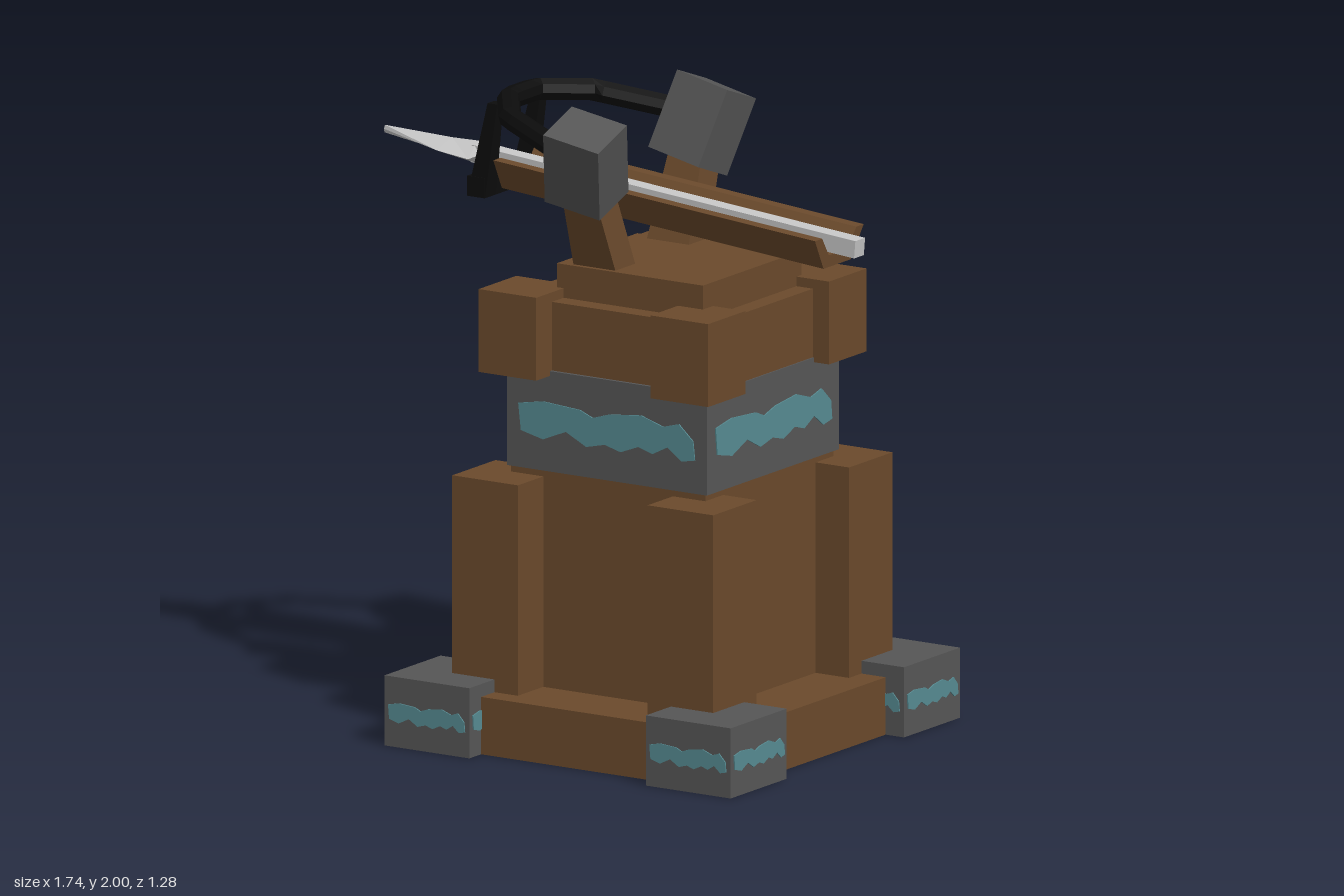
import * as THREE from 'three';

const mat = (name, color, side = THREE.DoubleSide) => {
  const m = new THREE.MeshStandardMaterial({ color, side, flatShading: true });
  m.name = name;
  return m;
};

export function createModel() {
  const wood = mat('wood', 0x6b4a2c);
  const stone = mat('stone', 0x565656);
  const teal = mat('teal paint', 0x568b92);
  const black = mat('black bow', 0x0c0c0c);
  const steel = mat('steel', 0xc6c6c6);

  const model = new THREE.Group();
  model.name = 'ballistaTower';
  const add = (name, geo, material, parent = model) => {
    const m = new THREE.Mesh(geo, material);
    m.name = name;
    parent.add(m);
    return m;
  };

  // Box given by its limits; open ones have no bottom
  const box = (name, [x0, x1], [y0, y1], [z0, z1], material, open = false, parent = model) => {
    const g = new THREE.BoxGeometry(x1 - x0, y1 - y0, z1 - z0);
    if (open) {
      const idx = Array.from(g.index.array);
      idx.splice(18, 6);
      g.setIndex(idx);
      g.clearGroups();
    }
    const m = add(name, g, material, parent);
    m.position.set((x0 + x1) / 2, (y0 + y1) / 2, (z0 + z1) / 2);
    return m;
  };

  // Skin over four-cornered rings, capped at both ends
  const loft = (rings) => {
    const n = rings[0].length, idx = [];
    for (let r = 0; r < rings.length - 1; r++)
      for (let i = 0; i < n; i++) {
        const a = r * n + i, b = r * n + (i + 1) % n;
        idx.push(a, b, b + n, a, b + n, a + n);
      }
    const e = (rings.length - 1) * n;
    idx.push(0, 2, 1, 0, 3, 2, e, e + 1, e + 3, e + 1, e + 2, e + 3);
    const g = new THREE.BufferGeometry();
    g.setAttribute('position', new THREE.Float32BufferAttribute(rings.flat(2), 3));
    g.setIndex(idx);
    const flat = g.toNonIndexed();
    flat.computeVertexNormals();
    return flat;
  };

  // Ragged paint stripe, one unit wide and one unit high
  const stripe = [[-1, .7], [-.72, .95], [-.3, .8], [-.16, .5], [.03, .8], [.39, 1], [.64, .6],
    [.82, .85], [.98, .1], [1, -.85], [.85, -1], [.69, -.4], [.52, -.85], [.36, -.6], [.16, -1],
    [-.02, -.75], [-.23, -1], [-.46, -.4], [-.72, -.95], [-.97, -.65]]
    .map(([x, y]) => new THREE.Vector2(x / 2, y / 2));
  // Stripes on the four sides of a block, centred on its walls
  const paint = (name, cx, y, cz, hx, hz, w, h) => {
    for (let i = 0; i < 4; i++) {
      const g = new THREE.ExtrudeGeometry(new THREE.Shape(stripe), { depth: 0.008, bevelEnabled: false });
      g.translate(0, 0, -0.004);
      g.scale(w, h, 1);
      g.translate(0, 0, i % 2 ? hx : hz);
      g.rotateY(i * Math.PI / 2);
      add(name, g, teal).position.set(cx, y, cz);
    }
  };

  // Tower body
  const CX = 0.165;
  const span = (c, h) => [c - h, c + h];
  box('plinth', span(CX, 0.565), [0, 0.18], span(0.005, 0.565), wood, true);
  box('towerCore', span(CX, 0.355), [0.18, 0.86], span(0, 0.355), wood);
  box('stoneBand', span(CX, 0.365), [0.86, 1.175], span(-0.005, 0.366), stone);
  paint('bandStripe', CX, 1.018, -0.005, 0.365, 0.366, 0.645, 0.125);
  box('upperBlock', span(CX, 0.36), [1.165, 1.39], span(-0.01, 0.36), wood);
  box('platform', span(0.198, 0.267), [1.38, 1.495], span(0.012, 0.273), wood);

  // Corner feet, posts and upper corner blocks
  for (const sx of [-1, 1])
    for (const sz of [-1, 1]) {
      const fx = CX + sx * 0.4775, fz = sz * 0.48;
      box('cornerFoot', span(fx, 0.155), [0, 0.22], span(fz, 0.155), stone, true);
      paint('footStripe', fx, 0.108, fz, 0.155, 0.155, 0.28, 0.066);
      box('cornerPost', span(CX + sx * 0.357, 0.12), [0.18, 0.84], span(sz * 0.376, 0.12), wood);
      box('cornerBlock', span(CX + sx * 0.314, 0.105), [1.16, 1.42], span(sz * 0.335 - 0.002, 0.104), wood);
    }

  // Slanted arms with heavy caps
  for (const s of [-1, 1]) {
    const arm = add('bowArm', loft([
      [[0.135, 1.48, 0.055], [0.135, 1.48, -0.055], [-0.02, 1.48, -0.055], [-0.02, 1.48, 0.055]],
      [[0.115, 1.80, 0.055], [0.115, 1.80, -0.055], [0, 1.80, -0.055], [0, 1.80, 0.055]]
        .map(([x, y, z]) => [x, y, z + s * 0.118]),
    ]), wood);
    arm.position.z = 0.01 + s * 0.198;
    const cap = add('armCap', new THREE.BoxGeometry(0.196, 0.252, 0.17), stone);
    cap.position.set(0.068, 1.835, 0.01 + s * 0.322);
    cap.rotation.set(s * 0.35, 0, -0.2);
  }

  // Tilted stock, shaft and arrowhead share one axis
  const launcher = new THREE.Group();
  launcher.name = 'launcher';
  launcher.position.set(0.2, 1.652, 0.025);
  launcher.rotation.z = -0.084;
  model.add(launcher);
  const trough = [[-0.075, -0.05], [0.075, -0.05], [0.135, 0.05], [0.095, 0.05], [0.05, -0.012],
    [-0.05, -0.012], [-0.095, 0.05], [-0.135, 0.05]].map(p => new THREE.Vector2(...p));
  const stock = new THREE.ExtrudeGeometry(new THREE.Shape(trough), { depth: 1.18, bevelEnabled: false });
  stock.translate(0, 0, -0.59);
  stock.rotateY(Math.PI / 2);
  add('stock', stock, wood, launcher);
  box('arrowShaft', [-0.74, 0.667], [-0.01, 0.045], [-0.027, 0.027], steel, false, launcher);
  const headRing = (u, edge, w, h) => [[u, h, 0], [edge, 0, w], [u, -h, 0], [edge, 0, -w]];
  add('arrowHead', loft([
    headRing(-1.075, -1.075, 0.004, 0.012),
    headRing(-0.83, -0.83, 0.081, 0.026),
    headRing(-0.735, -0.71, 0.09, 0.036),
  ]), steel, launcher).position.y = 0.018;

  // Bow and the bracket that carries it
  const side = [[0.05, 1.855, 0.335], [-0.03, 1.872, 0.325], [-0.265, 1.918, 0.225], [-0.37, 1.935, 0.075]];
  const path = [...side, ...side.map(([x, y, z]) => [x, y, -z]).reverse()].map(p => new THREE.Vector3(...p));
  const curve = new THREE.CurvePath();
  for (let i = 1; i < path.length; i++) curve.add(new THREE.LineCurve3(path[i - 1], path[i]));
  add('bow', new THREE.TubeGeometry(curve, 28, 0.036, 8), black).position.z = 0.022;
  box('bracketBar', [-0.47, -0.405], [1.632, 1.695], [-0.12, 0.175], black);
  for (const s of [-1, 1]) {
    const ring = (x0, x1, y, z, w) =>
      [[x1, y, z + w], [x1, y, z - w], [x0, y, z - w], [x0, y, z + w]];
    add('bracketLeg', loft([
      ring(-0.47, -0.405, 1.632, s * 0.117, 0.03),
      ring(-0.40, -0.365, 1.93, s * 0.122, 0.018),
    ]), black).position.z = 0.027;
  }
  return model;
}
